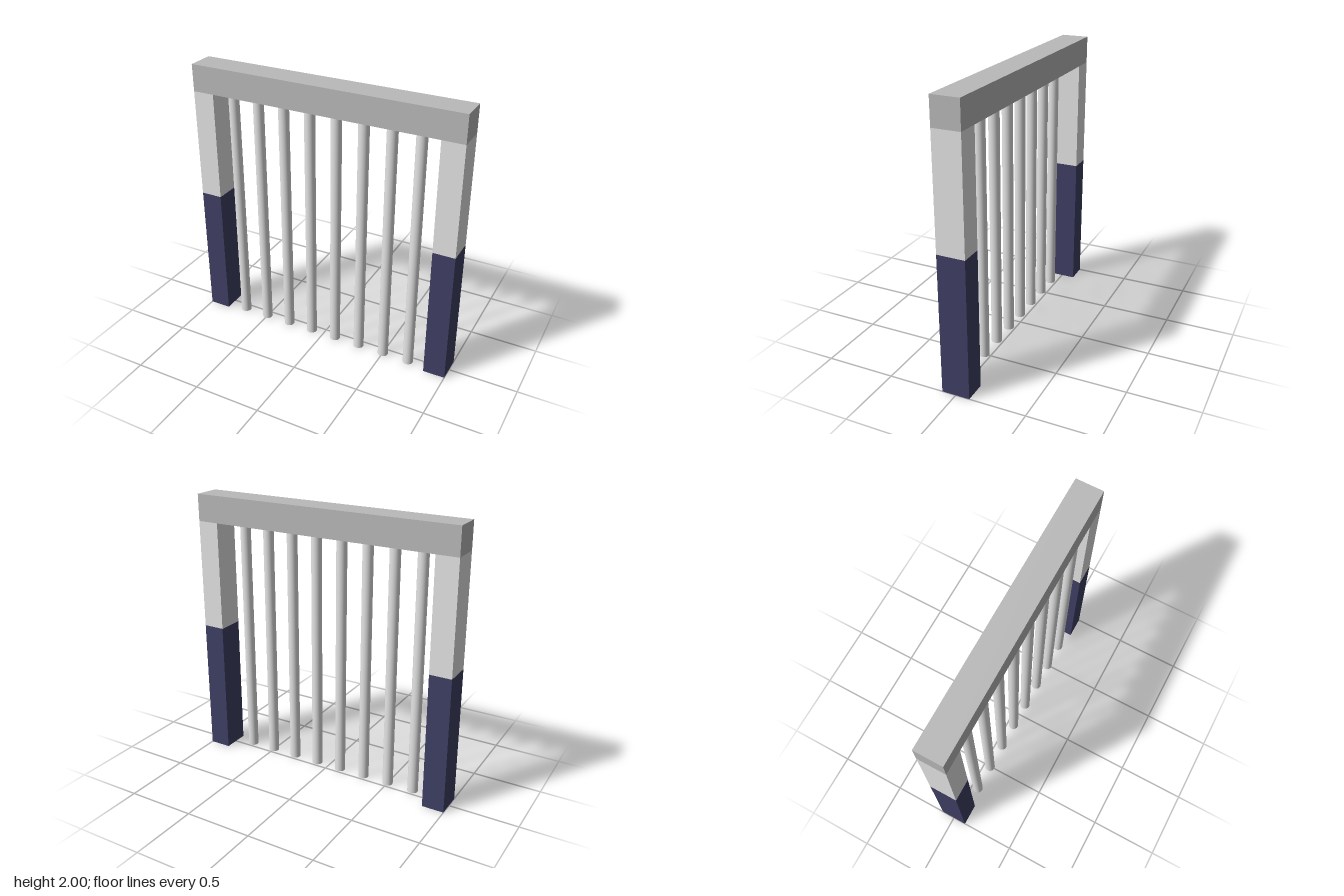
import * as THREE from 'three';

const flat = (name, color, side = THREE.FrontSide) => {
  const m = new THREE.MeshStandardMaterial({ color, side });
  m.name = name;
  return m;
};

// Box with its top and bottom faces left out
function openBox(w, h, d) {
  const geometry = new THREE.BoxGeometry(w, h, d);
  const index = Array.from(geometry.index.array);
  index.splice(12, 12);
  geometry.setIndex(index);
  geometry.clearGroups();
  return geometry;
}

export function createModel() {
  const group = new THREE.Group();
  group.name = 'barredGate';

  const beamGrey = flat('beamGrey', 0xbababa);
  const lightGrey = flat('lightGrey', 0xe5e5e5, THREE.DoubleSide);
  const navy = flat('navy', 0x3f3f65, THREE.DoubleSide);

  const add = (name, geometry, material, x, y, z = 0) => {
    const mesh = new THREE.Mesh(geometry, material);
    mesh.name = name;
    mesh.position.set(x, y, z);
    group.add(mesh);
  };

  // Top beam
  const beamBottom = 1.803;
  const beamHeight = 2 - beamBottom;
  add('topBeam', new THREE.BoxGeometry(2, beamHeight, 0.2), beamGrey, 0, 2 - beamHeight / 2);

  // Hollow side posts: navy lower half, light upper half
  const lower = openBox(0.16, 1, 0.2);
  const upper = openBox(0.16, beamBottom - 1, 0.2);
  for (const [side, s] of [['left', 1], ['right', -1]]) {
    add(side + 'LowerPost', lower, navy, s * 0.92, 0.5);
    add(side + 'UpperPost', upper, lightGrey, s * 0.92, (1 + beamBottom) / 2);
  }

  // Row of round vertical bars, set towards the front of the beam
  const bar = new THREE.CylinderGeometry(0.038, 0.038, beamBottom, 32);
  for (let i = 0; i < 8; i++) {
    add('bar' + (i + 1), bar, lightGrey, -0.7 + i * 0.2, beamBottom / 2, 0.05);
  }

  return group;
}
